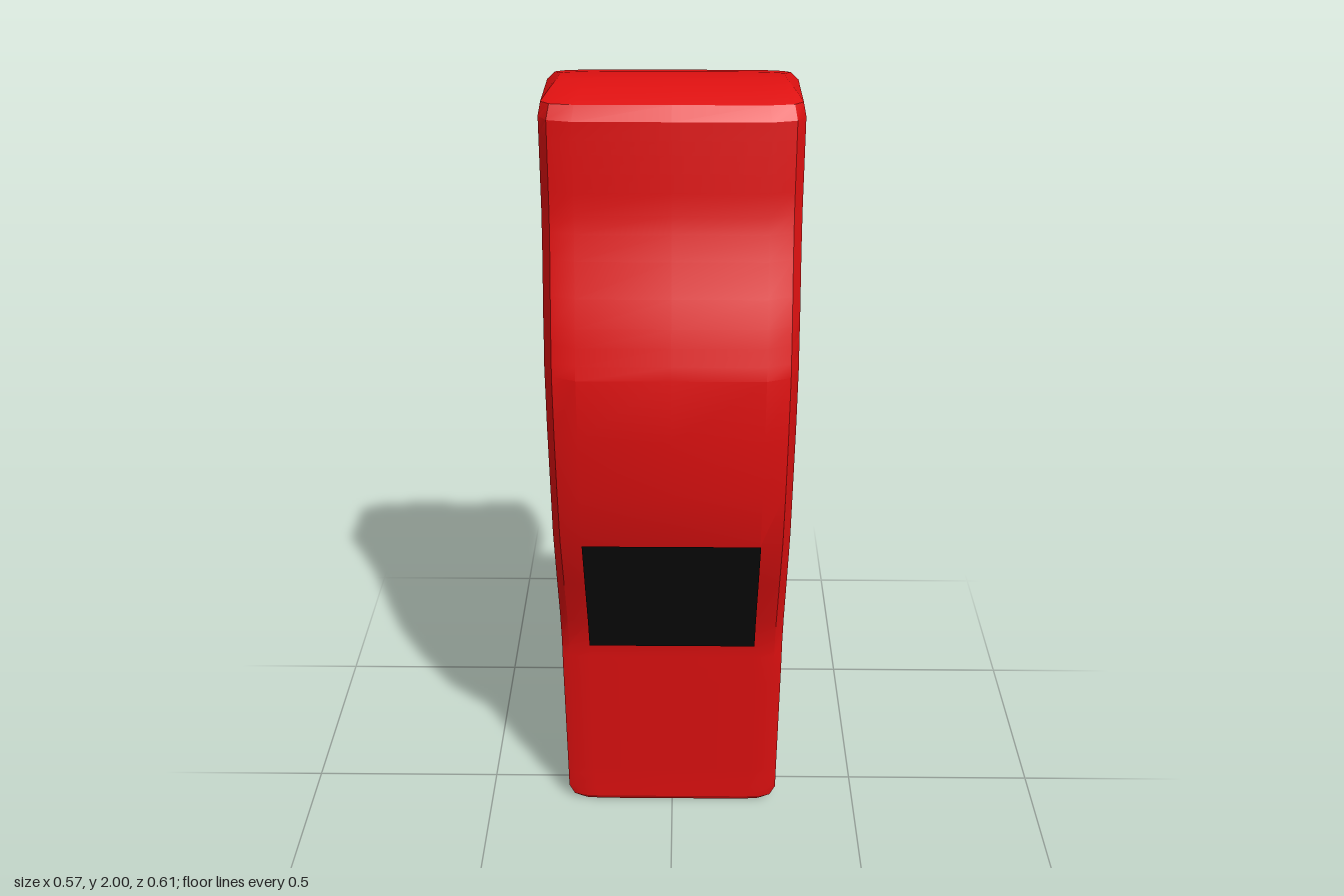
import * as THREE from 'three';
import { toCreasedNormals } from 'three/addons/utils/BufferGeometryUtils.js';

const red = new THREE.MeshStandardMaterial({ color: 0xdd1010 });
const black = new THREE.MeshStandardMaterial({ color: 0x0c0c0c });
const glass = new THREE.MeshStandardMaterial({ color: 0x0a0a0a, side: THREE.DoubleSide });

const { lerp, mapLinear } = THREE.MathUtils;

// Turns a short list of [height, value] points into a function of height
const profile = points => y => {
  const i = Math.max(1, points.findIndex(p => p[0] >= y));
  const [a, b] = [points[i - 1], points[i]];
  return mapLinear(y, a[0], b[0], a[1], b[1]);
};

// Bonnet, windscreen, roof and tail line
const frontZ = profile([
  [0, 0.09], [0.02, 0.1], [0.1, 0.102], [0.56, 0.131], [0.65, 0.155], [0.8, 0.213],
  [0.95, 0.268], [1.1, 0.294], [1.25, 0.304], [1.4, 0.302], [1.51, 0.27], [1.66, 0.21],
  [1.74, 0.188], [1.94, 0.172], [1.97, 0.15], [1.99, 0.1], [2, 0.05],
]);
const frontBevel = profile([[0, 0.01], [0.5, 0.01], [1.1, 0.07], [1.46, 0.07], [1.74, 0.05], [1.94, 0.045], [2, 0.01]]);

// Underside line with its bumpers
const underZ = profile([
  [0, -0.08], [0.02, -0.145], [0.05, -0.172], [0.1, -0.168], [0.56, -0.185],
  [1.4, -0.165], [1.88, -0.14], [1.94, -0.122], [1.99, -0.06], [2, -0.005],
]);

// Wheel arch strength: 0 outside, 1 at its deepest
const bump = (y, centre, reach) => Math.max(0, 1 - (Math.abs(y - centre) / reach) ** 2.5);
const arch = y => bump(y, 0.31, 0.21) + bump(y, 1.645, 0.225);

// One closed cross-section, mirrored about x = 0
function section(y) {
  const end = Math.min(y, 2 - y);
  const w = 0.285 - 0.04 * Math.max(0, 1 - end / 0.05) ** 2;
  const zf = frontZ(y), bf = frontBevel(y), under = underZ(y), a = arch(y);
  const zb = lerp(under, 0.03, a);
  const bb = lerp(0.08, 0.015, a) * Math.min(1, 0.15 + end / 0.15);
  const half = [
    [w * 0.74, zf], [w * 0.93, zf - bf * 0.3], [w, zf - bf],
    [w, zb + bb], [w * 0.93, zb + bb * 0.45], [w * 0.74, zb], [0.09, zb],
  ];
  const mirrored = half.map(([x, z]) => [-x, z]).reverse();
  const ring = [[0, zf], ...half, [0, under + 0.04 * a], ...mirrored];
  return ring.map(([x, z]) => [x, y, z]);
}

// Skin the sections and close both ends
function loft(rings) {
  const n = rings[0].length;
  const index = [];
  const pos = rings.flat(2);
  for (let i = 0; i < rings.length - 1; i++) {
    for (let j = 0; j < n; j++) {
      const a = i * n + j, b = i * n + (j + 1) % n;
      index.push(a, b, b + n, a, b + n, a + n);
    }
  }
  for (const r of [0, rings.length - 1]) {
    const c = pos.length / 3;
    const zs = rings[r].map(p => p[2]);
    pos.push(0, rings[r][0][1], (Math.max(...zs) + Math.min(...zs)) / 2);
    for (let j = 0; j < n; j++) {
      const a = r * n + j, b = r * n + (j + 1) % n;
      index.push(c, ...(r ? [a, b] : [b, a]));
    }
  }
  const g = new THREE.BufferGeometry();
  g.setAttribute('position', new THREE.Float32BufferAttribute(pos, 3));
  g.setIndex(index);
  return toCreasedNormals(g, 0.4);
}

function add(parent, name, geometry, material) {
  const mesh = new THREE.Mesh(geometry, material);
  mesh.name = name;
  parent.add(mesh);
  return mesh;
}

export function createModel() {
  const car = new THREE.Group();
  car.name = 'toyCar';

  // Body, with closer sections around the bumpers and arches
  const heights = [
    0.005, 0.02, 0.05, 0.1, 0.12, 0.15, 0.19, 0.25, 0.31, 0.37, 0.43, 0.48, 0.52, 0.56,
    0.65, 0.8, 0.95, 1.1, 1.25, 1.4, 1.43, 1.47, 1.51, 1.57, 1.645, 1.7, 1.74, 1.79,
    1.83, 1.87, 1.9, 1.94, 1.97, 1.99, 2,
  ];
  add(car, 'body', loft(heights.map(section)), red);

  // Windscreen lies on the sloping front surface
  const rows = [0.95, 0.8, 0.65, 0.56];
  const screen = new THREE.PlaneGeometry(0.425, 1, 1, rows.length - 1);
  const p = screen.attributes.position;
  for (let i = 0; i < p.count; i++) {
    const y = rows[Math.floor(i / 2)];
    p.setXYZ(i, p.getX(i), y, frontZ(y) + 0.004);
  }
  screen.computeVertexNormals();
  add(car, 'windscreen', screen, glass);

  // Four wheels
  const tyre = new THREE.CylinderGeometry(0.152, 0.152, 0.122, 48).rotateZ(Math.PI / 2);
  for (const [end, y] of [['front', 0.275], ['rear', 1.657]]) {
    for (const [side, x] of [['Left', 0.136], ['Right', -0.14]]) {
      add(car, end + side + 'Wheel', tyre, black).position.set(x, y, -0.152);
    }
  }
  return car;
}
